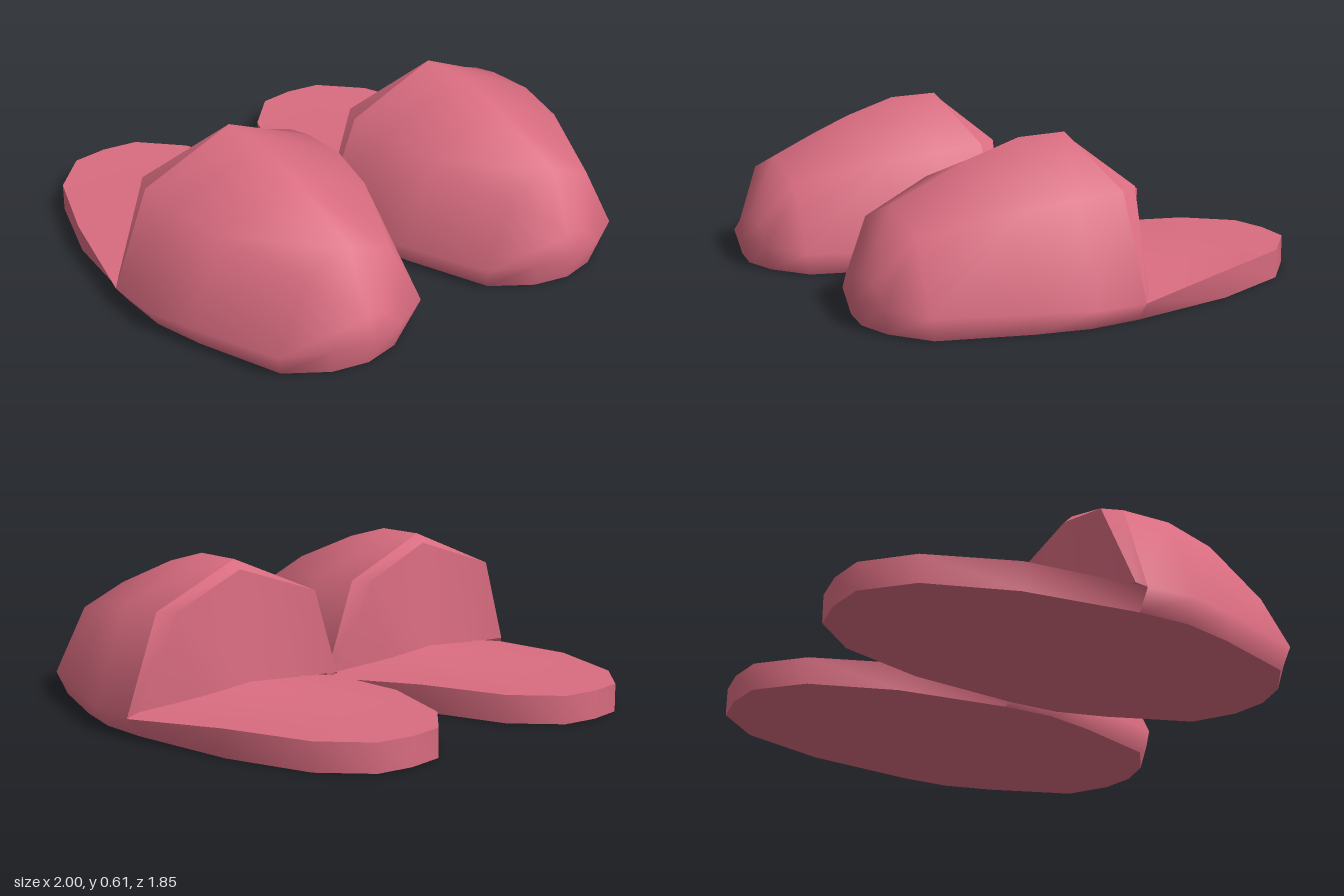
import * as THREE from 'three';
import { mergeVertices } from 'three/addons/utils/BufferGeometryUtils.js';

// Smooth surface through rows of equally many points.
function surface(rows) {
  const n = rows[0].length, index = [];
  for (let i = 0; i < rows.length - 1; i++) {
    for (let j = 0; j < n - 1; j++) {
      const a = i * n + j, b = a + n;
      index.push(a, b, b + 1, a, b + 1, a + 1);
    }
  }
  const g = new THREE.BufferGeometry();
  g.setAttribute('position', new THREE.Float32BufferAttribute(rows.flat(2), 3));
  g.setIndex(index);
  const merged = mergeVertices(g);
  merged.computeVertexNormals();
  return merged;
}

// Mirrors a half row (outer edge first, centre last) into a full row from -x to +x.
const mirror = half => [
  ...half.map(([x, y, z]) => [-x, y, z]),
  ...half.slice(0, -1).reverse(),
];

// Front stations: sole, widest, shoulder and ridge points.
const UPPER = [
  [[0.46, 0, 0.03], [0.515, 0.075, 0.03], [0.37, 0.45, 0.035], [0, 0.605, 0.04]],
  [[0.46, 0, 0.23], [0.515, 0.08, 0.23], [0.37, 0.45, 0.23], [0, 0.605, 0.24]],
  [[0.41, 0, 0.43], [0.45, 0.085, 0.44], [0.33, 0.42, 0.44], [0, 0.55, 0.44]],
  [[0.29, 0, 0.76], [0.32, 0.09, 0.79], [0.19, 0.34, 0.77], [0, 0.42, 0.77]],
  [[0.14, 0, 0.86], [0.155, 0.1, 0.885], [0.08, 0.17, 0.88], [0, 0.18, 0.885]],
  [[0, 0, 0.89], [0, 0.1, 0.92], [0, 0.1, 0.92], [0, 0.1, 0.92]],
];

// Heel stations: z, sole half width, top half width, edge height, centre height.
const HEEL = [
  [-0.925, 0, 0, 0.11, 0.11],
  [-0.905, 0.145, 0.145, 0.11, 0.11],
  [-0.745, 0.3, 0.3, 0.11, 0.11],
  [-0.41, 0.41, 0.42, 0.11, 0.11],
  [0.03, 0.46, 0.515, 0.075, 0.145],
];

export function createModel() {
  const pink = new THREE.MeshStandardMaterial({ color: 0xd96c80, side: THREE.DoubleSide });
  pink.name = 'rosePink';

  // Domed toe cover
  const upper = surface(UPPER.map(mirror));

  // Side wall around the heel
  const around = pick => mirror([...HEEL].reverse().map(pick));
  const heelSide = surface([
    around(([z, w]) => [w, 0, z]),
    around(([z, , w, y]) => [w, y, z]),
  ]);

  // Footbed, gently raised in the middle towards the opening
  const insole = surface(HEEL.map(([z, , w, edge, mid]) => mirror([
    [w, edge, z], [w * 0.5, edge + (mid - edge) * 0.7, z], [0, mid, z],
  ])));

  // Back face of the toe cover and the bevelled lip around it
  const lipInner = mirror([[0.485, 0.1, 0], [0.335, 0.455, -0.04], [0, 0.57, 0.005]]);
  const lipOuter = mirror([[0.515, 0.075, 0.03], [0.37, 0.45, 0.035], [0, 0.605, 0.04]]);
  const wallFoot = mirror([[0.485, 0.1, 0], [0.25, 0.12, -0.035], [0, 0.13, -0.035]]);
  const backWall = surface([wallFoot, lipInner]);
  const lip = surface([lipInner, lipOuter]);

  // Flat underside
  const half = [
    ...HEEL.map(([z, w]) => [w, z]),
    ...UPPER.slice(1).map(s => [s[0][0], s[0][2]]),
  ];
  const outline = [...half, ...half.slice(1, -1).reverse().map(([x, z]) => [-x, z])];
  const sole = new THREE.ShapeGeometry(
    new THREE.Shape(outline.map(([x, z]) => new THREE.Vector2(x, z)))
  );
  sole.rotateX(Math.PI / 2);

  const parts = { upper, heelSide, insole, backWall, lip, sole };
  const model = new THREE.Group();
  model.name = 'slippers';
  for (const [name, x] of [['leftSlipper', 0.485], ['rightSlipper', -0.485]]) {
    const slipper = new THREE.Group();
    slipper.name = name;
    slipper.position.x = x;
    for (const [part, geometry] of Object.entries(parts)) {
      const mesh = new THREE.Mesh(geometry, pink);
      mesh.name = part;
      slipper.add(mesh);
    }
    model.add(slipper);
  }
  return model;
}
